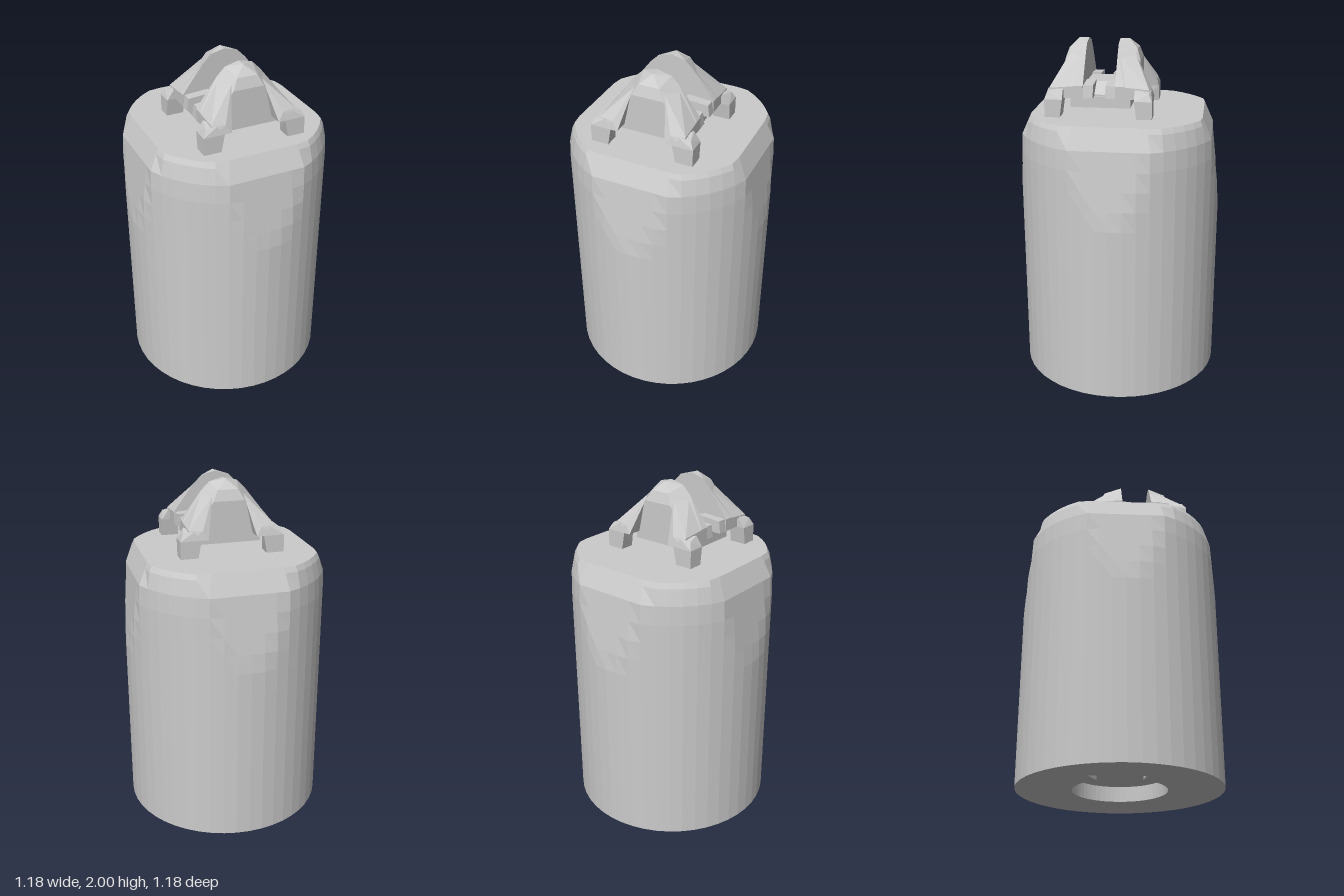
import * as THREE from 'three';
import { ConvexGeometry } from 'three/addons/geometries/ConvexGeometry.js';

const material = new THREE.MeshStandardMaterial({ color: 0xcccccc, flatShading: true });

function part(name, geometry, parent) {
  const mesh = new THREE.Mesh(geometry, material);
  mesh.name = name;
  parent.add(mesh);
  return mesh;
}

// Faceted solid around points, with the points flipped by sx and sz
function hull(name, points, parent, sx = 1, sz = 1) {
  const pts = points.map(([x, y, z]) => new THREE.Vector3(x * sx, y, z * sz));
  return part(name, new ConvexGeometry(pts), parent);
}

const mirrorX = (points) => points.concat(points.map(([x, y, z]) => [-x, y, z]));

// Distance of the four flats from the axis at a given height
function flatDistance(y) {
  if (y < 1.04) return 0.6;
  if (y < 1.48) return THREE.MathUtils.mapLinear(y, 1.04, 1.48, 0.592, 0.54);
  return THREE.MathUtils.mapLinear(y, 1.48, 1.6, 0.54, 0.487);
}

// Round canister, cut by four sloping flats towards the top
function bodyGeometry() {
  const profile = [
    [0.59, 0], [0.59, 1.04], [0.59, 1.15], [0.59, 1.26], [0.59, 1.37],
    [0.585, 1.48], [0.565, 1.57], [0.55, 1.6], [0, 1.6],
  ].map(([r, y]) => new THREE.Vector2(r, y));
  const geometry = new THREE.LatheGeometry(profile, 48);
  const pos = geometry.attributes.position;
  for (let i = 0; i < pos.count; i++) {
    const x = pos.getX(i), y = pos.getY(i), z = pos.getZ(i);
    const k = Math.min(1, flatDistance(y) / Math.max(Math.abs(x), Math.abs(z), 0.001));
    pos.setXYZ(i, x * k, y, z * k);
  }
  geometry.computeVertexNormals();
  return geometry;
}

// Bottom slab with a round, notched recess
function baseGeometry() {
  const deg = Math.PI / 180;
  const shape = new THREE.Shape().absarc(0, 0, 0.589, 0, Math.PI * 2);
  const hole = new THREE.Path();
  hole.absarc(0, 0, 0.27, 156 * deg, -149 * deg, true);
  hole.lineTo(-0.32, -0.19);
  hole.lineTo(-0.335, 0.12);
  hole.closePath();
  shape.holes.push(hole);
  return new THREE.ExtrudeGeometry(shape, { depth: 0.09, bevelEnabled: false, curveSegments: 24 })
    .rotateX(Math.PI / 2).translate(0, 0.09, 0);
}

const corePoints = mirrorX([
  [0, 2, 0.09], [0, 2, 0.145], [0.08, 1.98, 0.09], [0.06, 1.95, 0.195],
  [0.13, 1.93, 0.09], [0.09, 1.89, 0.215], [0.13, 1.82, 0.215], [0.14, 1.7, 0.215],
  [0.25, 1.77, 0.09], [0.25, 1.7, 0.09], [0.25, 1.77, 0.14], [0.25, 1.7, 0.16],
]);

const legPoints = [
  [0.14, 1.7, 0.3], [0.17, 1.75, 0.29], [0.25, 1.7, 0.3], [0.25, 1.755, 0.28],
  [0.25, 1.7, 0.1], [0.25, 1.77, 0.1], [0.09, 1.92, 0.19], [0.13, 1.92, 0.1],
  [0.14, 1.7, 0.2],
];

const footPoints = [
  [0.2, 1.595, 0.215], [0.3, 1.595, 0.215], [0.3, 1.595, 0.3], [0.2, 1.595, 0.3],
  [0.2, 1.7, 0.2], [0.3, 1.7, 0.2], [0.3, 1.7, 0.3], [0.18, 1.7, 0.3],
  [0.26, 1.755, 0.2], [0.28, 1.74, 0.28], [0.22, 1.75, 0.29],
];

// Inner step beside the centre gap
const ledgePoints = [];
for (const z of [0.035, 0.095]) {
  ledgePoints.push([0.1, 1.7, z], [0.25, 1.7, z], [0.1, 1.78, z], [0.24, 1.77, z]);
}

export function createModel() {
  const model = new THREE.Group();
  model.name = 'canister';

  part('body', bodyGeometry(), model);
  part('base', baseGeometry(), model);
  part('recessCeiling', new THREE.CircleGeometry(0.4, 32).rotateX(Math.PI / 2), model)
    .position.y = 0.088;

  // Bracket on top, set a little towards the front
  const bracket = new THREE.Group();
  bracket.name = 'bracket';
  bracket.position.z = 0.09;
  model.add(bracket);

  part('plate', new THREE.BoxGeometry(0.4, 0.065, 0.34), bracket).position.y = 1.67;
  part('centreBlock', new THREE.BoxGeometry(0.2, 0.1, 0.18), bracket).position.y = 1.72;
  const barPoints = [];
  for (const z of [-0.038, 0.038]) {
    barPoints.push([0.19, 1.69, z], [0.19, 1.71, z], [0.1, 1.77, z], [0.1, 1.69, z]);
  }
  hull('crossBar', mirrorX(barPoints), bracket);

  for (const sz of [1, -1]) {
    const side = sz > 0 ? 'front' : 'back';
    const jaw = new THREE.Group();
    jaw.name = side + 'Jaw';
    bracket.add(jaw);
    hull(side + 'JawCore', corePoints, jaw, 1, sz);
    for (const sx of [1, -1]) {
      const name = side + (sx > 0 ? 'Left' : 'Right');
      hull(name + 'Leg', legPoints, jaw, sx, sz);
      hull(name + 'Foot', footPoints, jaw, sx, sz);
      hull(name + 'Ledge', ledgePoints, jaw, sx, sz);
    }
  }
  return model;
}
